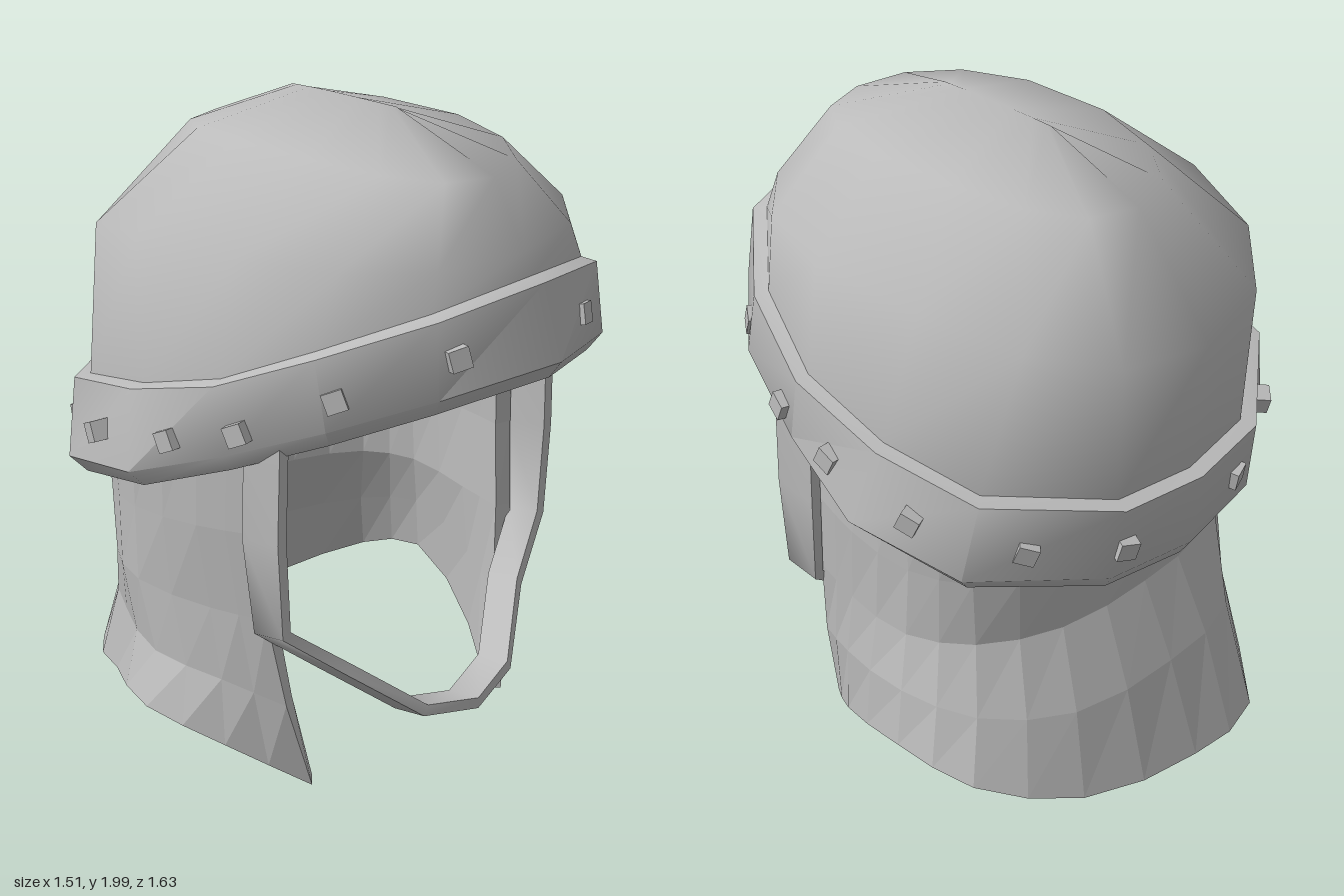
import * as THREE from 'three';
import { toCreasedNormals } from 'three/addons/utils/BufferGeometryUtils.js';

const V = (x, y, z) => new THREE.Vector3(x, y, z);
const mirrorX = (p) => V(-p.x, p.y, p.z);
const round = (n) => Math.round(n * 1000) / 1000;
// half outline continued on the other side, without repeating the middle
const otherSide = (row) => row.slice(0, -1).reverse().map(mirrorX);

// Skin rows of points; crease 0 gives flat facets
function loft(rows, closeRows, closeCols, crease) {
  const pos = [], R = rows.length, C = rows[0].length;
  const tri = (a, b, c) => {
    if (new THREE.Triangle(a, b, c).getArea() > 1e-7) for (const p of [a, b, c]) pos.push(p.x, p.y, p.z);
  };
  for (let r = 0; r < (closeRows ? R : R - 1); r++) {
    for (let c = 0; c < (closeCols ? C : C - 1); c++) {
      const p = rows[r], q = rows[(r + 1) % R], d = (c + 1) % C;
      tri(p[c], q[c], p[d]);
      tri(q[c], q[d], p[d]);
    }
  }
  const geo = new THREE.BufferGeometry();
  geo.setAttribute('position', new THREE.Float32BufferAttribute(pos, 3));
  geo.computeVertexNormals();
  return crease ? toCreasedNormals(geo, crease) : geo;
}

export function createModel() {
  const group = new THREE.Group();
  const steel = new THREE.MeshStandardMaterial({ color: 0xbbbbbb, side: THREE.DoubleSide });
  steel.name = 'steel grey';
  const add = (name, geo) => {
    const mesh = new THREE.Mesh(geo, steel);
    mesh.name = name;
    group.add(mesh);
    return mesh;
  };

  // Tilted brow band: top and bottom edges, half outline from front to back
  const ring = (half) => {
    const row = half.map((p) => V(...p));
    return [...row, ...otherSide(row.slice(1))];
  };
  const outerTop = ring([[0, 1.61, 0.745], [0.345, 1.565, 0.66], [0.57, 1.46, 0.42], [0.68, 1.34, 0.14],
    [0.69, 1.25, -0.18], [0.62, 1.18, -0.5], [0.29, 1.115, -0.745], [0, 1.1, -0.78]]);
  const outerBottom = ring([[0, 1.395, 0.81], [0.36, 1.35, 0.68], [0.57, 1.26, 0.46], [0.68, 1.14, 0.17],
    [0.755, 1.03, -0.13], [0.67, 0.95, -0.48], [0.31, 0.88, -0.71], [0, 0.86, -0.75]]);
  const innerTop = outerTop.map((p) => V(p.x * 0.94, p.y + 0.01, p.z * 0.94));
  const innerBottom = outerBottom.map((p) => V(p.x * 0.93, p.y - 0.055, p.z * 0.95));
  add('browBand', loft([innerTop, outerTop, outerBottom, innerBottom], true, true, 0.85));

  // Domed skull: ridge, two slightly squared rings, then the band
  const N = innerTop.length;
  const squared = (n) => round(Math.sign(round(n)) * Math.abs(n) ** 0.88);
  const domeRing = (a, zFront, zBack, yFront, ySide, yBack) => Array.from({ length: N }, (_, i) => {
    const t = (i / N) * Math.PI * 2, c = squared(Math.cos(t));
    const y = ySide + ((c > 0 ? yFront : yBack) - ySide) * c * c;
    return V(a * squared(Math.sin(t)), y, (zFront + zBack) / 2 + ((zFront - zBack) / 2) * c);
  });
  add('skullDome', loft([
    domeRing(0, 0.2, -0.2, 2, 2, 1.995),
    domeRing(0.32, 0.56, -0.52, 1.87, 1.91, 1.86),
    domeRing(0.6, 0.67, -0.78, 1.68, 1.68, 1.53),
    innerTop,
  ], false, true, Math.PI));

  // Tilted floor closing the underside of the dome
  add('domeFloor', loft([innerTop, innerTop.map(() => V(0, 1.3, -0.03))], false, true, 0.8));

  // Square studs around the band: x on the left, x on the right, y, z
  const studs = [[0.2, -0.3, 1.46, 0.7], [0.53, -0.53, 1.345, 0.46], [0.655, -0.66, 1.22, 0.22],
    [0.69, -0.71, 1.155, 0], [0.69, -0.7, 1.09, -0.31], [0.51, -0.53, 1.02, -0.575], [0.27, -0.21, 0.98, -0.725]];
  const studGeo = new THREE.BoxGeometry(0.06, 0.06, 0.06);
  for (const [xl, xr, y, z] of studs) {
    for (const x of [xl, xr]) {
      const stud = add('stud', studGeo);
      const zs = z > 0.6 ? 0.755 - Math.abs(x) * 0.22 : z;
      stud.position.set(x, y, zs);
      const n = V(x / 0.5, 0, zs / 0.6).normalize();
      stud.lookAt(x + n.x, y + 0.2 * n.z, zs + n.z);
      stud.rotateZ(-0.45 * n.x);
    }
  }

  // Flared neck and cheek guard: rows from top to bottom, left front edge to back centre
  const leftHalf = [
    [[0.56, 1.25, 0.19], [0.61, 1.23, 0], [0.64, 1.18, -0.24], [0.57, 1.15, -0.45], [0.35, 1.13, -0.62], [0, 1.12, -0.67]],
    [[0.57, 0.87, 0.185], [0.62, 0.86, 0], [0.635, 0.85, -0.24], [0.56, 0.85, -0.42], [0.33, 0.84, -0.57], [0, 0.82, -0.62]],
    [[0.55, 0.6, 0.21], [0.60, 0.6, 0.03], [0.64, 0.62, -0.23], [0.55, 0.63, -0.42], [0.32, 0.63, -0.55], [0, 0.64, -0.59]],
    [[0.51, 0.32, 0.245], [0.60, 0.38, 0.06], [0.685, 0.45, -0.25], [0.61, 0.43, -0.48], [0.37, 0.4, -0.65], [0, 0.4, -0.7]],
    [[0.44, 0.01, 0.28], [0.58, 0.13, 0.09], [0.715, 0.27, -0.26], [0.67, 0.23, -0.52], [0.41, 0.14, -0.72], [0, 0.1, -0.81]],
  ];
  // the right side flares less at the back: lowest two rows, back to front
  const rightFlare = {
    3: [[-0.33, 0.4, -0.65], [-0.53, 0.42, -0.41], [-0.645, 0.41, -0.16], [-0.6, 0.38, 0.07], [-0.51, 0.32, 0.245]],
    4: [[-0.3, 0.1, -0.785], [-0.56, 0.22, -0.43], [-0.725, 0.27, -0.12], [-0.62, 0.18, 0.1], [-0.44, 0.04, 0.28]],
  };
  const outer = leftHalf.map((points, r) => {
    const left = points.map((p) => V(...p));
    const right = rightFlare[r] ? rightFlare[r].map((p) => V(...p)) : otherSide(left);
    return new THREE.CatmullRomCurve3([...left, ...right]).getPoints(20);
  });
  const last = outer[0].length - 1;
  // offset each point along its surface normal for the plate thickness
  const inner = outer.map((row, r) => row.map((p, c) => {
    const across = row[Math.min(c + 1, last)].clone().sub(row[Math.max(c - 1, 0)]);
    const down = outer[Math.min(r + 1, 4)][c].clone().sub(outer[Math.max(r - 1, 0)][c]);
    return p.clone().addScaledVector(down.cross(across).normalize(), -0.055);
  }));
  inner[4].forEach((p) => { p.y = Math.max(p.y, 0); });
  // repeat the inner end points on the outer rows to close the front edges
  const capped = outer.map((row, r) => [inner[r][0], ...row, inner[r][last]]);
  const lining = inner.map((row) => [row[0], ...row, row[last]]).reverse();
  add('neckGuard', loft([...capped, ...lining], true, false, 0));

  // Chin strap: flat ribbon hanging from side to side, wider at the top
  const halfPath = [[0.6, 1.26, 0.25], [0.61, 0.88, 0.245], [0.59, 0.58, 0.255], [0.4, 0.42, 0.325],
    [0.2, 0.25, 0.45], [0, 0.21, 0.49]].map((p) => V(...p));
  const path = [...halfPath, ...otherSide(halfPath)];
  const edge = (side, inset) => path.map((p, i) => {
    const t = path[Math.min(i + 1, path.length - 1)].clone().sub(path[Math.max(i - 1, 0)]);
    const n = V(-t.y, t.x, 0).normalize();
    const dz = side * (p.y > 0.8 ? 0.07 : 0.057);
    return V(p.x - n.x * inset, p.y - n.y * inset + dz * 0.15, p.z + dz);
  });
  add('chinStrap', loft([edge(-1, 0), edge(1, 0), edge(1, 0.035), edge(-1, 0.035)], true, false, 1));

  return group;
}
